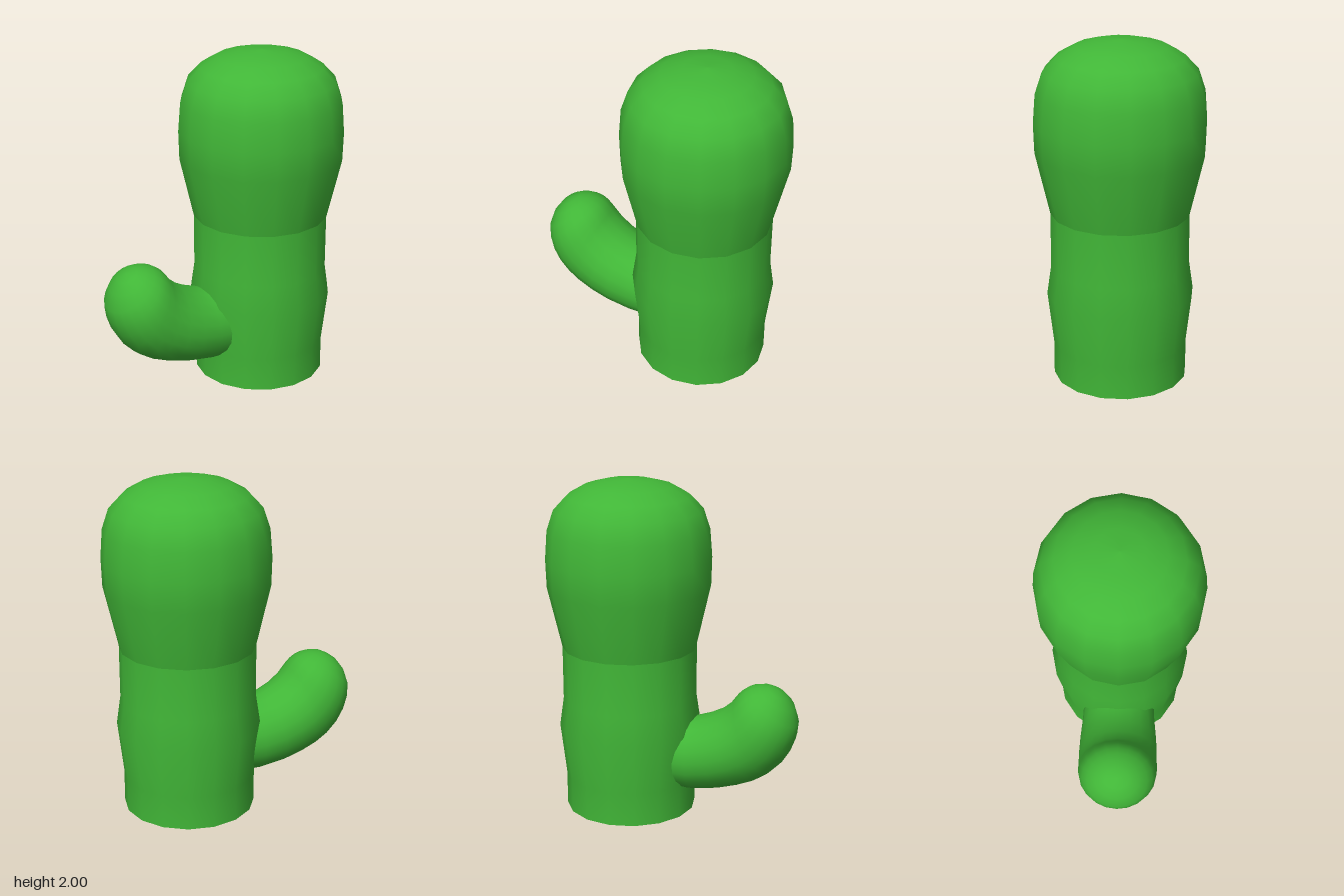
import * as THREE from 'three';

const green = new THREE.MeshStandardMaterial({ color: 0x41b637, side: THREE.DoubleSide });
green.name = 'cactus green';

const TRUNK_X = 0.274;

// Sixteen-sided turned section of the trunk, from [radius, height] pairs
function turned(name, profile) {
  const points = profile.map(([r, y]) => new THREE.Vector2(r, y));
  const mesh = new THREE.Mesh(new THREE.LatheGeometry(points, 16), green);
  mesh.name = name;
  mesh.position.x = TRUNK_X;
  return mesh;
}

// Bent arm lofted through elliptical rings.
// Each ring: lower x, lower y, upper x, upper y, half width in z
function armGeometry(rings, tip, sides = 20) {
  const positions = [];
  const index = [];
  for (const [lx, ly, ux, uy, halfWidth] of rings) {
    for (let j = 0; j < sides; j++) {
      const t = (j / sides) * Math.PI * 2;
      const k = (1 + Math.cos(t)) / 2;
      positions.push(lx + (ux - lx) * k, ly + (uy - ly) * k, halfWidth * Math.sin(t));
    }
  }
  const pole = positions.length / 3;
  positions.push(...tip);
  rings.forEach((_, i) => {
    for (let j = 0; j < sides; j++) {
      const a = i * sides + j;
      const b = i * sides + ((j + 1) % sides);
      if (i === rings.length - 1) index.push(a, pole, b);
      else index.push(a, a + sides, b, b, a + sides, b + sides);
    }
  });
  const geometry = new THREE.BufferGeometry();
  geometry.setAttribute('position', new THREE.Float32BufferAttribute(positions, 3));
  geometry.setIndex(index);
  geometry.computeVertexNormals();
  return geometry;
}

export function createModel() {
  const model = new THREE.Group();
  model.name = 'cactus';

  // Lower trunk, open at the foot
  model.add(turned('lowerTrunk', [
    [0.39, 0], [0.39, 0.2], [0.425, 0.51], [0.4, 0.68], [0.4, 1],
  ]));

  // Swollen crown, with a sharp seam where it meets the lower trunk
  model.add(turned('crown', [
    [0.4, 1], [0.483, 1.36], [0.488, 1.53], [0.475, 1.7], [0.435, 1.82],
    [0.36, 1.9], [0.26, 1.957], [0.14, 1.988], [0, 2],
  ]));

  // Side arm, open inside the trunk and rounded at its tip
  const arm = new THREE.Mesh(armGeometry([
    [0.15, 0.15, 0.15, 0.56, 0.21],
    [-0.14, 0.15, -0.13, 0.59, 0.225],
    [-0.3, 0.175, -0.22, 0.62, 0.236],
    [-0.42, 0.21, -0.3, 0.66, 0.24],
    [-0.52, 0.25, -0.36, 0.71, 0.24],
    [-0.6, 0.3, -0.385, 0.745, 0.24],
    [-0.67, 0.37, -0.405, 0.77, 0.238],
    [-0.72, 0.45, -0.425, 0.79, 0.23],
    [-0.75, 0.53, -0.45, 0.808, 0.212],
    [-0.76, 0.61, -0.485, 0.823, 0.18],
    [-0.735, 0.705, -0.53, 0.831, 0.13],
    [-0.69, 0.77, -0.58, 0.83, 0.07],
  ], [-0.638, 0.81, 0]), green);
  arm.name = 'sideArm';
  model.add(arm);

  return model;
}
